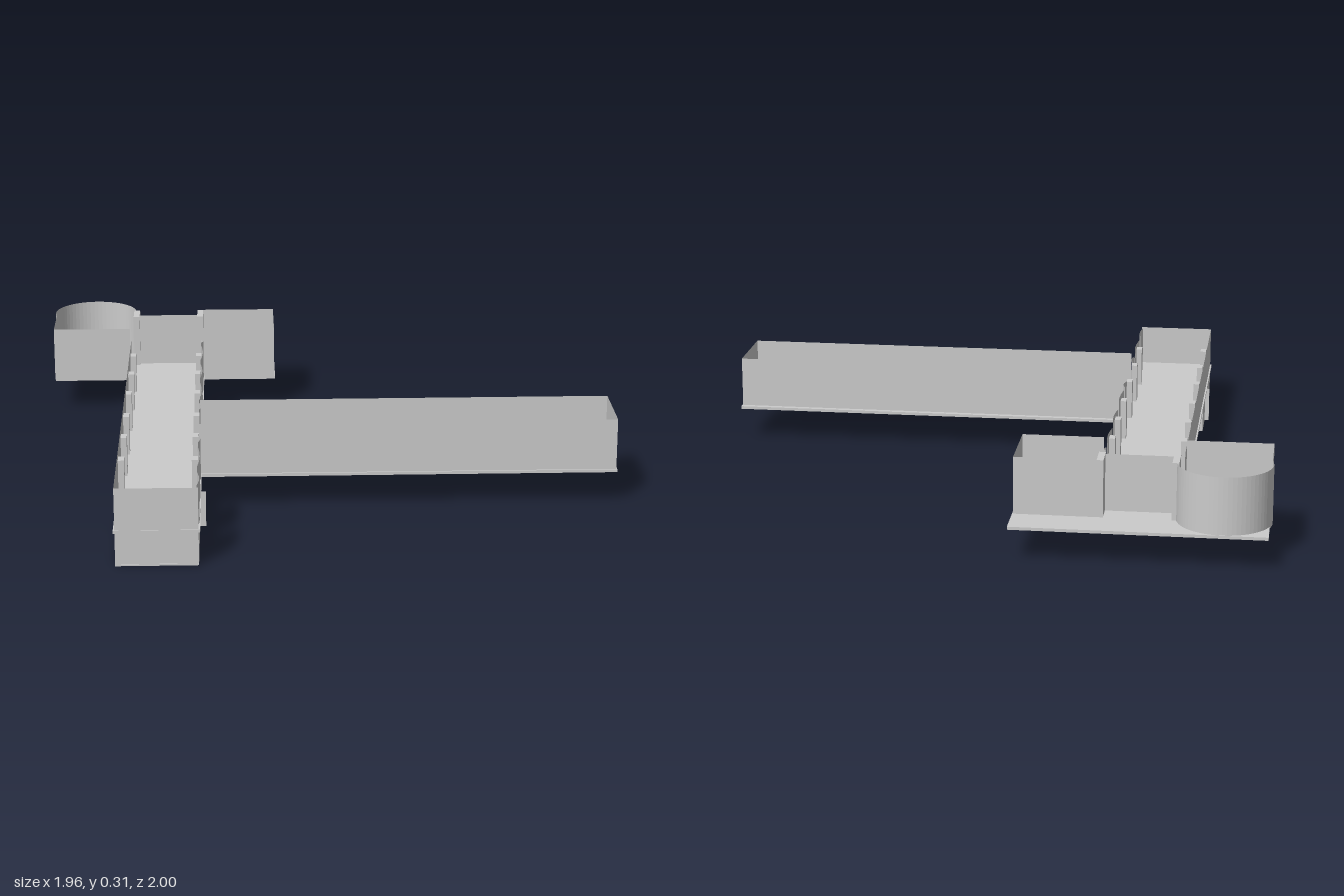
import * as THREE from 'three';

const material = new THREE.MeshStandardMaterial({ color: 0xcccccc, side: THREE.DoubleSide });

export function createModel() {
  const model = new THREE.Group();

  // Slab or block given by its limits
  function block(name, x0, x1, y0, y1, z0, z1, parent = model) {
    const mesh = new THREE.Mesh(new THREE.BoxGeometry(x1 - x0, y1 - y0, z1 - z0), material);
    mesh.position.set((x0 + x1) / 2, (y0 + y1) / 2, (z0 + z1) / 2);
    mesh.name = name;
    parent.add(mesh);
    return mesh;
  }

  // Thin upright wall following a plan path of [x, z] points
  function wall(name, path, y0, y1, parent = model) {
    const positions = [];
    for (let i = 0; i < path.length - 1; i++) {
      const [ax, az] = path[i], [bx, bz] = path[i + 1];
      positions.push(ax, y0, az, bx, y0, bz, bx, y1, bz, ax, y0, az, bx, y1, bz, ax, y1, az);
    }
    const geometry = new THREE.BufferGeometry();
    geometry.setAttribute('position', new THREE.Float32BufferAttribute(positions, 3));
    geometry.computeVertexNormals();
    const mesh = new THREE.Mesh(geometry, material);
    mesh.name = name;
    parent.add(mesh);
    return mesh;
  }

  // Long corridor: floor, plain wall and end wall
  block('corridorFloor', -0.69, -0.415, 0.11, 0.12, -0.62, 1);
  wall('corridorWall', [[-0.685, -0.62], [-0.685, 0.998], [-0.42, 0.998]], 0.115, 0.26);

  // Row of slightly bowed wall panels separated by narrow gaps
  const panels = new THREE.Group();
  panels.name = 'corridorPanels';
  model.add(panels);
  const spans = [[0.85, 0.98], [0.6, 0.8], [0.48, 0.56], [0.14, 0.22],
    [-0.1, 0.11], [-0.32, -0.14], [-0.55, -0.36], [-0.615, -0.585]];
  for (const [z0, z1] of spans) {
    const path = [];
    for (let i = 0; i <= 6; i++) {
      const t = i / 6;
      path.push([-0.425 + 0.008 * Math.sin(Math.PI * t), z0 + (z1 - z0) * t]);
    }
    wall('panel', path, 0.115, 0.26, panels);
  }

  // Pillars along both sides, with feet below the floor
  const pillars = new THREE.Group();
  pillars.name = 'pillars';
  model.add(pillars);
  for (const z of [-0.45, -0.23, 0, 0.25, 0.47, 0.7])
    for (const x of [-0.672, -0.433])
      block('pillar', x - 0.01, x + 0.01, 0.09, 0.255, z - 0.02, z + 0.02, pillars);

  // Lower storey under the corridor end
  block('lowerFloor', -0.685, -0.42, 0, 0.006, 0.5, 1);
  wall('lowerWalls', [[-0.685, 0.5], [-0.685, 0.998], [-0.42, 0.998], [-0.42, 0.5], [-0.685, 0.5]], 0, 0.115);
  block('lowerCrossPlate', -0.7, -0.4, 0, 0.12, 0.647, 0.653);

  // Side wing, open towards the corridor
  block('wingFloor', -0.42, 0.98, 0.11, 0.12, 0.2, 0.48);
  wall('wingWalls', [[-0.42, 0.475], [0.977, 0.475], [0.977, 0.218], [-0.42, 0.218]], 0.115, 0.295);

  // Head of the corridor: shared floor
  block('headFloor', -0.97, -0.15, 0.105, 0.115, -1, -0.62);

  // Room with a rounded end
  const round = [[-0.69, -0.62], [-0.972, -0.62], [-0.972, -0.8]];
  const arcX = -0.825, arcZ = -0.845, radius = 0.153;
  for (let i = 0; i <= 32; i++) {
    const a = Math.PI * i / 32;
    round.push([arcX - radius * Math.cos(a), arcZ - radius * Math.sin(a)]);
  }
  wall('roundRoomWalls', round, 0.11, 0.305);

  // Square room
  wall('squareRoomWalls', [[-0.42, -0.62], [-0.153, -0.62], [-0.153, -0.87], [-0.43, -0.87]], 0.11, 0.305);

  // Cross wall between two short posts
  wall('crossWall', [[-0.67, -0.8], [-0.43, -0.8]], 0.11, 0.305);
  for (const x of [-0.67, -0.43])
    block('crossWallPost', x - 0.011, x + 0.011, 0.11, 0.305, -0.87, -0.78);

  return model;
}
